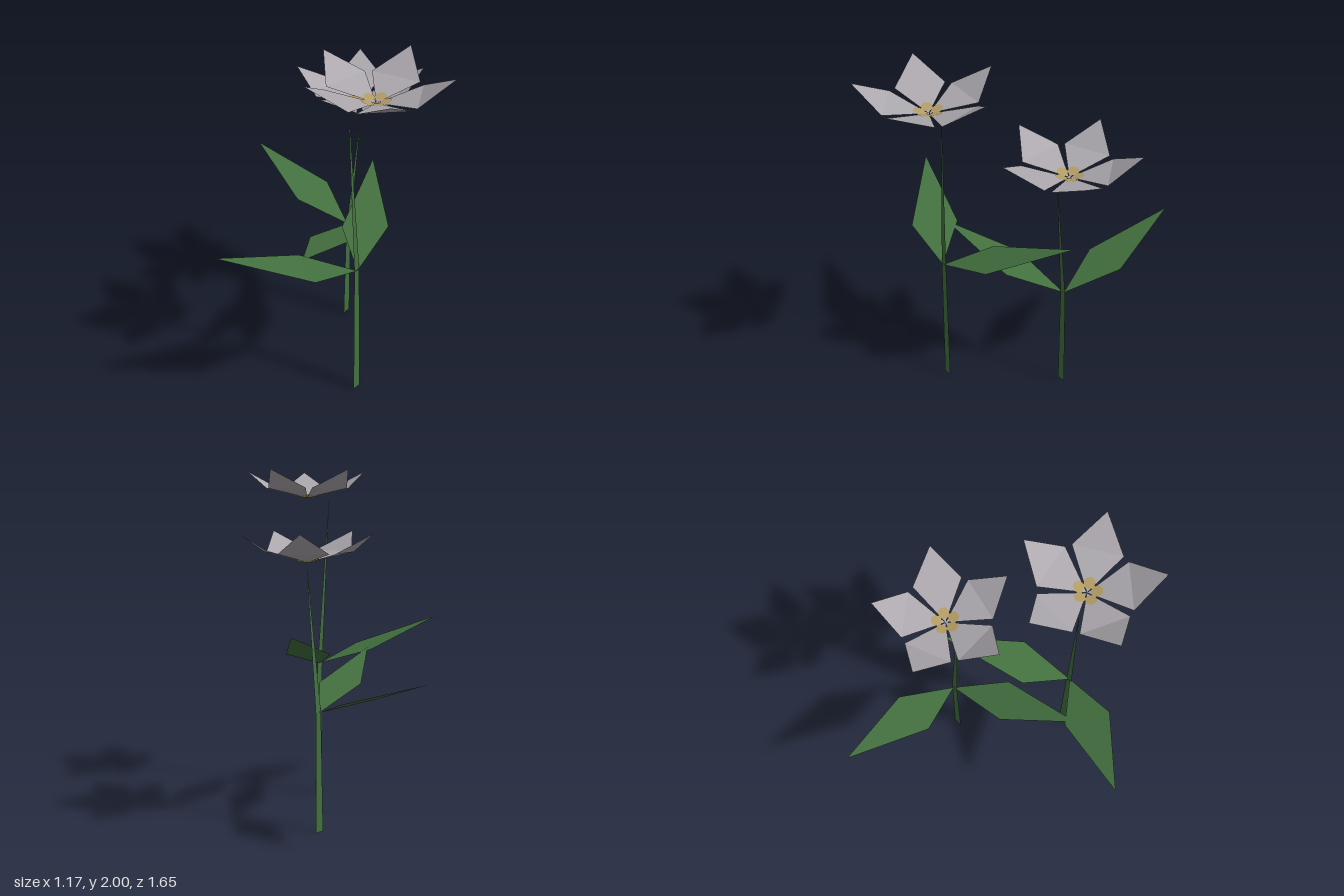
import * as THREE from 'three';

const flat = (color, name) => {
  const m = new THREE.MeshStandardMaterial({ color, side: THREE.DoubleSide, flatShading: true });
  m.name = name;
  return m;
};

// Flat surface through corner points, indexed by triangles
function surface(name, points, index, material) {
  const g = new THREE.BufferGeometry();
  g.setAttribute('position', new THREE.Float32BufferAttribute(points.flat(), 3));
  g.setIndex(index);
  g.computeVertexNormals();
  const mesh = new THREE.Mesh(g, material);
  mesh.name = name;
  return mesh;
}

// Kite blade: root, one shoulder, tip, other shoulder, creased across the shoulders
const blade = (name, root, a, tip, b, material) =>
  surface(name, [root, a, tip, b], [0, 1, 3, 1, 2, 3], material);

// Tapering ribbon stem, turned to face the front corner
function stem(path, material) {
  const halfWidths = [0.019, 0.014, 0.001];
  const points = [], index = [];
  path.forEach(([x, y, z], i) => {
    const w = halfWidths[i];
    points.push([x - w, y, z + w], [x + w, y, z - w]);
    if (i) {
      const k = 2 * i;
      index.push(k - 2, k - 1, k + 1, k - 2, k + 1, k);
    }
  });
  return surface('stem', points, index, material);
}

// Five-petalled bloom with a painted yellow lobe at the foot of each petal
function bloom(center, startDegrees, petalMat, lobeMat) {
  const flower = new THREE.Group();
  flower.name = 'bloom';
  const slope = Math.atan2(0.055, 0.212);
  for (let i = 0; i < 5; i++) {
    const petal = new THREE.Group();
    petal.name = 'petal';
    petal.add(blade('petalBlade', [0, 0, 0], [0.212, 0.055, 0.132], [0.376, 0.16, 0],
      [0.212, 0.055, -0.132], petalMat));
    for (const side of [1, -1]) {
      const lobe = new THREE.Mesh(new THREE.CircleGeometry(0.03, 16).rotateX(-Math.PI / 2), lobeMat);
      lobe.name = 'centreLobe';
      lobe.rotation.z = slope;
      lobe.position.set(0.048, 0.048 * Math.tan(slope) + side * 0.003, 0);
      petal.add(lobe);
    }
    petal.rotation.y = -THREE.MathUtils.degToRad(startDegrees + 72 * i);
    flower.add(petal);
  }
  flower.position.set(...center);
  return flower;
}

export function createModel() {
  const green = flat(0x43703f, 'leafGreen');
  const grey = flat(0xaca8ae, 'petalGrey');
  const yellow = flat(0xb39d66, 'centreYellow');

  const plants = [
    {
      name: 'frontPlant',
      stem: [[0.16, 0, 0.45], [0.147, 0.84, 0.435], [0.09, 1.82, 0.41]],
      bloom: [0.22, 1.84, 0.45], angle: 14.7,
      root: [0.15, 0.835, 0.44],
      leaves: [
        [[-0.085, 0.93, 0.656], [-0.589, 1.1, 0.652], [-0.164, 0.925, 0.4]],
        [[0.345, 0.935, 0.17], [0.3, 1.1, -0.3], [0.085, 0.935, 0.16]],
      ],
    },
    {
      name: 'backPlant',
      stem: [[0.153, 0, -0.25], [0.157, 0.68, -0.245], [0.215, 1.47, -0.2]],
      bloom: [0.21, 1.497, -0.26], angle: -13,
      root: [0.15, 0.68, -0.25],
      leaves: [
        [[-0.147, 0.78, -0.385], [-0.377, 0.945, -0.823], [0.046, 0.79, -0.565]],
        [[0.15, 0.785, 0.08], [-0.147, 0.93, 0.46], [-0.087, 0.785, 0.03]],
      ],
    },
  ];

  const model = new THREE.Group();
  model.name = 'flowers';
  for (const p of plants) {
    const plant = new THREE.Group();
    plant.name = p.name;
    plant.add(stem(p.stem, green), bloom(p.bloom, p.angle, grey, yellow));
    for (const [a, tip, b] of p.leaves) plant.add(blade('leaf', p.root, a, tip, b, green));
    model.add(plant);
  }
  return model;
}
